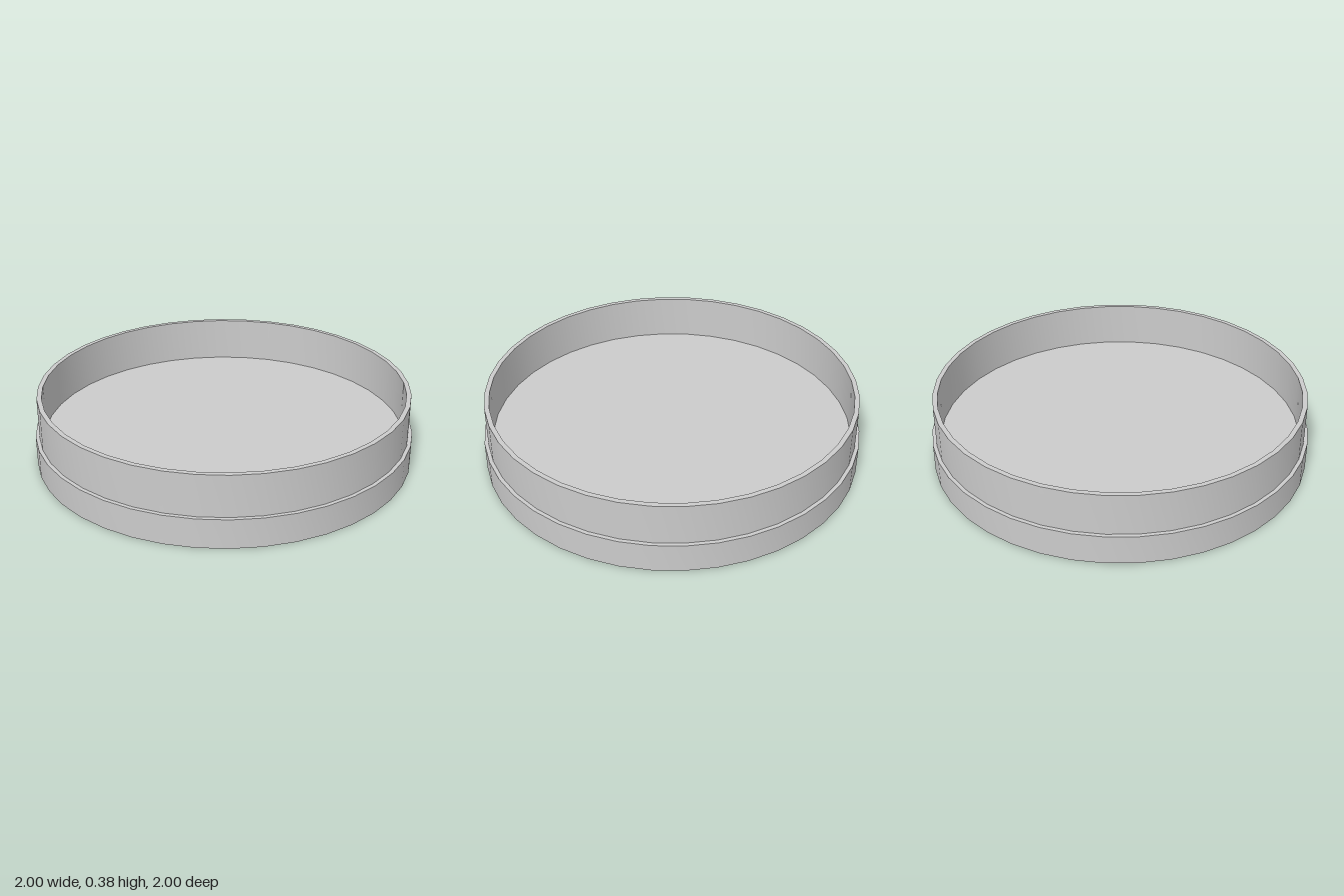
import * as THREE from 'three';
import { toCreasedNormals } from 'three/addons/utils/BufferGeometryUtils.js';

const SIDES = 40;
const HALF = Math.PI / SIDES;          // half a side, so that flats face the axes
const FIT = 1 / Math.cos(HALF);        // corner radius from flat radius

export function createModel() {
  const model = new THREE.Group();
  model.name = 'roundTray';

  const inner = 0.955, lip = 0.98, outer = 1;
  const step = 0.155, top = 0.375, floorY = 0.133;

  // Stepped ring wall: wide foot below, thinner lip above
  const profile = [
    [inner, floorY], [inner, 0], [outer, 0], [outer, step],
    [lip, step], [lip, top], [inner, top], [inner, floorY],
  ].map(([r, y]) => new THREE.Vector2(r * FIT, y));
  const wall = new THREE.Mesh(
    toCreasedNormals(new THREE.LatheGeometry(profile, SIDES, HALF), Math.PI / 6),
    new THREE.MeshStandardMaterial({ color: 0xcccccc }),
  );
  wall.name = 'steppedWall';

  // Thin floor set inside the ring, seen from above and below
  const floor = new THREE.Mesh(
    new THREE.CircleGeometry(inner * FIT, SIDES, HALF).rotateX(-Math.PI / 2),
    new THREE.MeshStandardMaterial({ color: 0xcccccc, side: THREE.DoubleSide }),
  );
  floor.name = 'floor';
  floor.position.y = floorY;

  model.add(wall, floor);
  return model;
}
